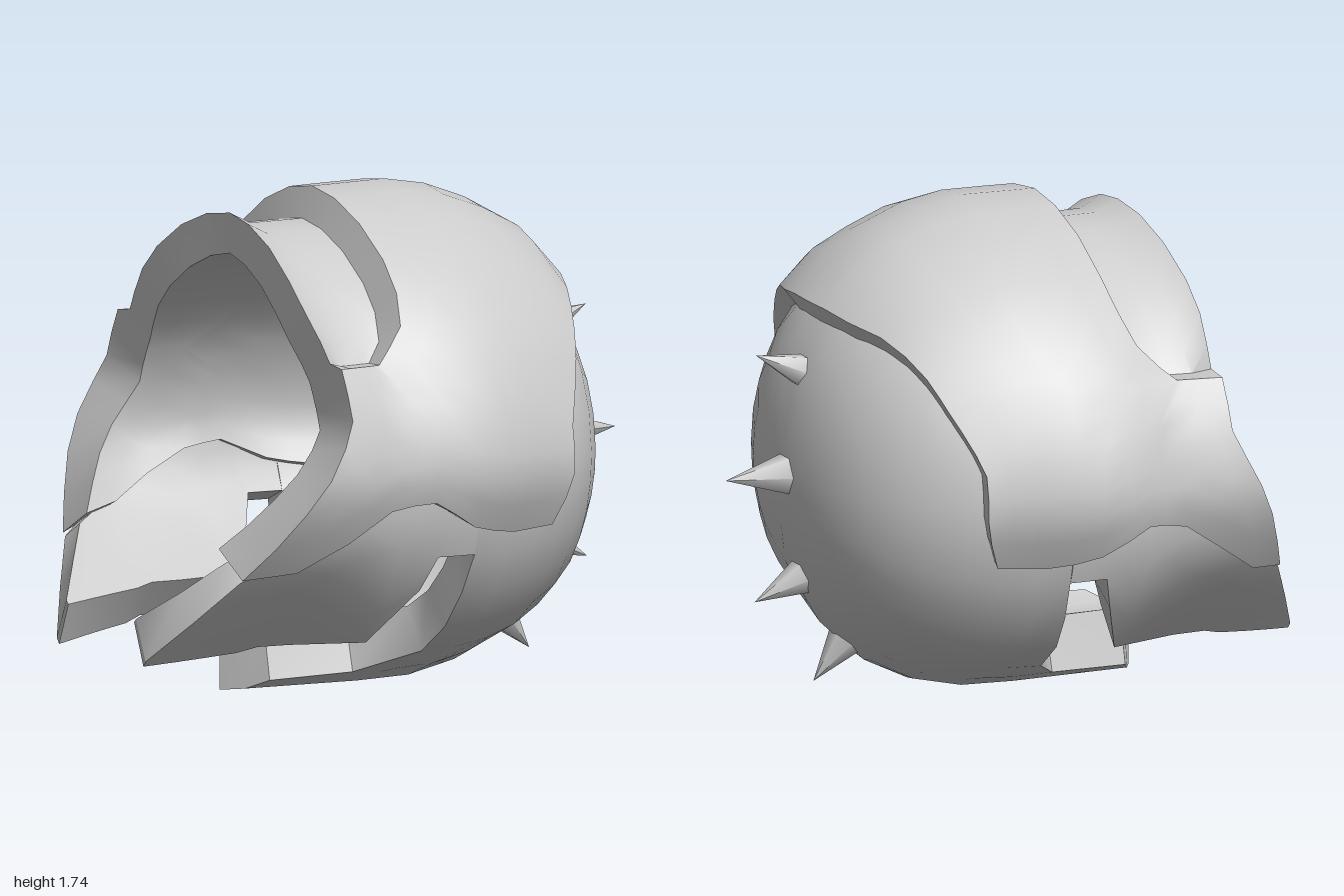
import * as THREE from 'three';
import { toCreasedNormals } from 'three/addons/utils/BufferGeometryUtils.js';

const RAD = Math.PI / 180;
const CY = 0.82; // height of the helmet's long axis
const lerp = THREE.MathUtils.lerp;

// piecewise linear lookup in [[key, value], ...]
function look(table, k) {
  if (k <= table[0][0]) return table[0][1];
  for (let i = 1; i < table.length; i++) {
    const [k0, v0] = table[i - 1], [k1, v1] = table[i];
    if (k <= k1) return lerp(v0, v1, (k - k0) / (k1 - k0));
  }
  return table[table.length - 1][1];
}

// Thick shell mirrored in z: point(i, j, inner) gives the +z half,
// i runs from front to back, j from top to bottom.
function shell(name, nu, nv, point, openTop, openBottom, material) {
  const pos = [];
  const tri = (a, b, c) => {
    const n = new THREE.Vector3().subVectors(b, a).cross(new THREE.Vector3().subVectors(c, a));
    if (n.length() < 1e-8) return;
    for (const p of [a, b, c]) pos.push(p.x, p.y, p.z);
    for (const p of [a, c, b]) pos.push(p.x, p.y, -p.z);
  };
  const quad = (a, b, c, d) => { tri(a, b, c); tri(a, c, d); };
  const grid = (inner) => Array.from({ length: nu }, (_, i) =>
    Array.from({ length: nv }, (_, j) => point(i, j, inner)));
  const O = grid(false), I = grid(true);
  for (let i = 0; i < nu - 1; i++) {
    for (let j = 0; j < nv - 1; j++) {
      quad(O[i][j], O[i][j + 1], O[i + 1][j + 1], O[i + 1][j]);
      quad(I[i][j], I[i + 1][j], I[i + 1][j + 1], I[i][j + 1]);
    }
    const e = nv - 1;
    if (!openTop) quad(O[i][0], O[i + 1][0], I[i + 1][0], I[i][0]);
    if (!openBottom) quad(O[i + 1][e], O[i][e], I[i][e], I[i + 1][e]);
  }
  for (let j = 0; j < nv - 1; j++) {
    const e = nu - 1;
    quad(O[0][j + 1], O[0][j], I[0][j], I[0][j + 1]);
    quad(O[e][j], O[e][j + 1], I[e][j + 1], I[e][j]);
  }
  const geo = new THREE.BufferGeometry();
  geo.setAttribute('position', new THREE.Float32BufferAttribute(pos, 3));
  const mesh = new THREE.Mesh(toCreasedNormals(geo, 0.6), material);
  mesh.name = name;
  return mesh;
}

// ---- outer dome dimensions, by x, by angle from the crown or by skirt height ----
const DOME_RZ = [[-0.5, 0.97], [-0.3, 0.93], [-0.12, 0.98], [0.05, 0.975], [0.4, 0.86], [0.55, 0.77], [0.69, 0.68]];
const DOME_RY = [[-0.5, 0.91], [-0.18, 0.915], [0.18, 0.925], [0.52, 0.8], [0.69, 0.61]];
const DOME_LOW = [[-0.8, 0.48], [-0.69, 0.48], [-0.32, 0.73], [-0.17, 0.745], [-0.03, 0.65], [0.14, 0.61], [0.34, 0.62]];
const DOME_BACK = [[0, 0.69], [12, 0.68], [24, 0.655], [47, 0.55], [61.5, 0.485]];
const DOME_FRONT = [[0, -0.5], [42, -0.53], [58, -0.5]];
const DOME_SEAM = [[0, -0.18], [36, -0.18], [45, -0.19], [53, -0.22], [58.5, -0.29], [61.5, -0.34]];
const SKIRT_FRONT = [[0, -0.5], [0.26, -0.5], [0.38, -0.54], [1, -0.8]];
const SKIRT_BACK = [[0, 0.485], [0.36, 0.4], [0.75, 0.4], [1, 0.34]];
const SKIRT_SEAM = [[0, -0.34], [0.4, -0.18]];
const SQUARENESS = 1.8; // superellipse power of the dome section

function makeDome(material) {
  const rows = [0, 12, 24, 36, 45, 53, 58.5, 61.5]; // degrees from the crown
  const skirt = [0.13, 0.26, 0.38, 0.52, 0.68, 0.84, 1];
  const front = [0, 0.25, 0.5, 0.75, 0.88, 1];
  const back = [0.15, 0.32, 0.5, 0.68, 0.85, 1];
  const e = 2 / SQUARENESS;
  const point = (i, j, inner) => {
    const s = j < rows.length ? 0 : skirt[j - rows.length];
    const xf = s ? look(SKIRT_FRONT, s) : look(DOME_FRONT, rows[j]);
    const xs = s ? look(SKIRT_SEAM, s) : look(DOME_SEAM, rows[j]);
    const xb = s ? look(SKIRT_BACK, s) : look(DOME_BACK, rows[j]);
    const x = i < front.length ? lerp(xf, xs, front[i]) : lerp(xs, xb, back[i - front.length]);
    const low = 180 - Math.acos(((CY - look(DOME_LOW, x)) / 0.85) ** (1 / e)) / RAD;
    const phi = (s ? lerp(61.5, low, s) : rows[j]) * RAD;
    const sin = Math.sin(phi), cos = Math.cos(phi);
    const y = (cos > 0 ? look(DOME_RY, x) : 0.85) * Math.sign(cos) * Math.abs(cos) ** e;
    const taper = 1 + 0.25 * Math.min(y, 0);
    const pinch = x < -0.5 ? 1 - 1.6 * (x + 0.5) ** 2 : 1;
    // sunken brow band with a raised front lip
    const sunken = i <= 4 && j <= 6;
    const k = inner ? lerp(0.23, 0.27, sin) : sunken ? (i === 0 ? 0.075 : 0.12) : 0;
    return new THREE.Vector3(x > 0 ? x * (1 - k * 0.6) : x,
      CY + y * (1 - k), look(DOME_RZ, x) * pinch * taper * sin ** e * (1 - k));
  };
  return shell('domeShell', front.length + back.length, rows.length + skirt.length, point, true, false, material);
}

// ---- inner bowl surface, shared by the neck guard and the cheek guards ----
function bowlPoint(x, phi, inner, taper) {
  const g = x > 0 ? Math.max(0, 1 - (x / 0.78) ** 2.3) ** (1 / 2.3) : 1;
  const k = inner ? look([[100, 0.14], [145, 0.22], [160, 0.25]], phi / RAD) : 0;
  return new THREE.Vector3(x > 0 ? x * (1 - k) : x,
    CY + 0.82 * g * Math.cos(phi) * (1 - k),
    0.83 * g * taper * Math.sin(phi) * (1 - k));
}

// back of the helmet, running forward under the face as a chin bar
function makeBowl(material) {
  const rows = [0, 15, 30, 45, 60, 75, 90, 100, 111, 122, 133, 144, 157, 160, 170, 180];
  const FRONT = [[0, 0.05], [111, 0.05], [144, 0.01], [157, -0.14], [160, -0.44], [180, -0.54]];
  const KEEL = [[140, 1], [160, 0.65]];
  const n = 10;
  return shell('neckGuardAndChinBar', n, rows.length, (i, j, inner) => {
    const xf = look(FRONT, rows[j]);
    const x = i === n - 1 ? 0.78 : xf + (0.78 - xf) * Math.sin(Math.PI / 2 * i / (n - 1));
    return bowlPoint(x, rows[j] * RAD, inner, look(KEEL, rows[j]));
  }, true, true, material);
}

// cheek guards, sweeping forward and inward on both sides
function makeCheeks(material) {
  const xs = [-1, -0.9, -0.8, -0.69, -0.62, -0.5, -0.37, -0.24, -0.13, -0.09, 0, 0.05];
  const TOP = [[-1, 0.17], [-0.8, 0.47], [-0.69, 0.53], [-0.32, 0.8], [-0.15, 0.82], [0.05, 0.75]];
  const LOW = [[-1, 0.15], [-0.69, 0.19], [-0.62, 0.21], [-0.24, 0.21], [-0.13, 0.41], [-0.09, 0.53]];
  const n = 6;
  return shell('cheekGuards', xs.length, n, (i, j, inner) => {
    const x = xs[i];
    const y = lerp(look(TOP, x), look(LOW, x), j / (n - 1));
    const pinch = x < -0.5 ? 1 - 0.7 * (x + 0.5) ** 2 : 1;
    const tuck = look([[-0.5, 0.2], [-0.1, 0]], x) * look([[0.2, 1], [0.6, 0]], y);
    return bowlPoint(x, Math.acos((y - CY) / 0.82), inner, pinch * (1 - tuck));
  }, false, false, material);
}

// ---- spikes down the back: base x, y, tip x, y, radius ----
function makeSpikes(material) {
  const group = new THREE.Group();
  group.name = 'backSpikes';
  const spikes = [
    [0.69, 1.175, 0.885, 1.255, 0.068],
    [0.74, 0.82, 1.0, 0.82, 0.085],
    [0.68, 0.46, 0.89, 0.375, 0.075],
    [0.54, 0.21, 0.665, 0.07, 0.068],
  ];
  for (const [bx, by, tx, ty, r] of spikes) {
    const axis = new THREE.Vector3(tx - bx, ty - by, 0);
    const h = axis.length();
    const geo = new THREE.ConeGeometry(r, h, 6).translate(0, h / 2, 0);
    const spike = new THREE.Mesh(toCreasedNormals(geo, 1.1), material);
    spike.name = 'spike';
    spike.position.set(bx, by, 0);
    spike.quaternion.setFromUnitVectors(new THREE.Vector3(0, 1, 0), axis.normalize());
    group.add(spike);
  }
  return group;
}

export function createModel() {
  const material = new THREE.MeshStandardMaterial({ color: 0xcccccc });
  const helmet = new THREE.Group();
  helmet.name = 'spikedHelmet';
  helmet.add(makeDome(material), makeBowl(material), makeCheeks(material), makeSpikes(material));
  return helmet;
}
